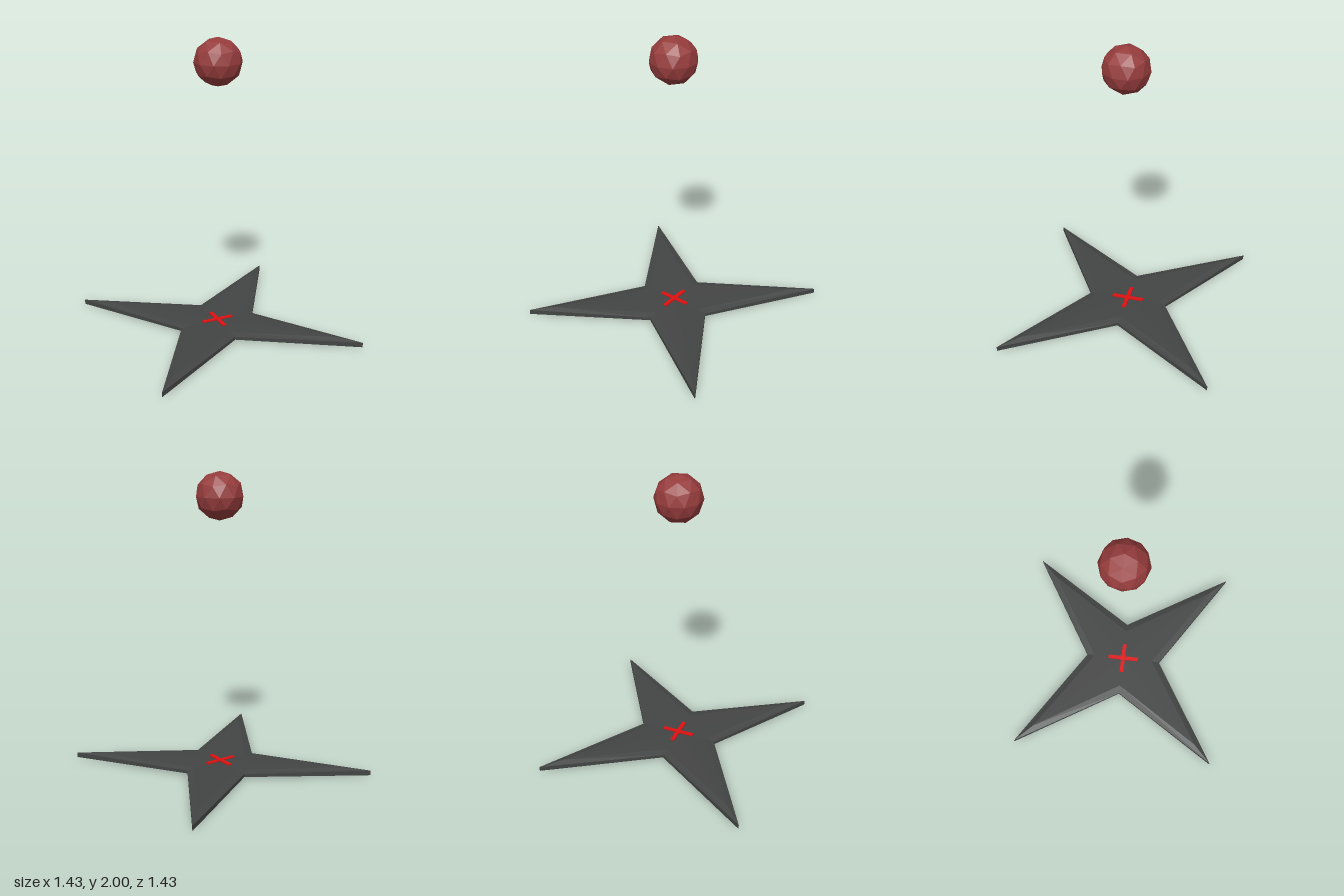
import * as THREE from 'three';

const mat = (color) => new THREE.MeshStandardMaterial({ color, flatShading: true });

// Four-pointed star from rings: [tip radius, tip height, valley radius, valley height]
function starGeometry(rings) {
  const loops = rings.map(([tipR, tipY, valleyR, valleyY]) =>
    Array.from({ length: 8 }, (_, i) => {
      const a = (i * Math.PI) / 4;
      const [r, y] = i % 2 ? [tipR, tipY] : [valleyR, valleyY];
      return [r * Math.cos(a), y, -r * Math.sin(a)];
    }));
  const pos = [];
  for (let k = 0; k < loops.length - 1; k++) {
    const [a, b] = [loops[k], loops[k + 1]];
    for (let i = 0; i < 8; i++) {
      const j = (i + 1) % 8;
      if (rings[k + 1][0] > 0) pos.push(...a[i], ...b[i], ...b[j]);
      if (rings[k][0] > 0) pos.push(...a[i], ...b[j], ...a[j]);
    }
  }
  const g = new THREE.BufferGeometry();
  g.setAttribute('position', new THREE.Float32BufferAttribute(pos, 3));
  g.computeVertexNormals();
  return g;
}

export function createModel() {
  const model = new THREE.Group();

  // Thin star plate with a bevelled top and a slightly hollow underside
  const star = new THREE.Mesh(starGeometry([
    [0, 0.045, 0, 0.045],
    [0.84, 0.05, 0.215, 0.045],
    [1.012, 0.037, 0.27, 0.035],
    [1.012, 0.004, 0.27, 0.014],
    [0.88, 0, 0.23, 0.012],
    [0, 0.012, 0, 0.012],
  ]), mat(0x434544));
  star.name = 'starBase';
  model.add(star);

  // Red cross in the middle of the plate
  const cross = new THREE.Group();
  cross.name = 'crossMark';
  for (let i = 0; i < 2; i++) {
    const bar = new THREE.Mesh(new THREE.BoxGeometry(0.22, 0.012, 0.028), mat(0xdd1111));
    bar.name = 'crossBar';
    bar.position.y = 0.046 + i * 0.0005;
    bar.rotation.y = (i * Math.PI) / 2;
    cross.add(bar);
  }
  model.add(cross);

  // Floating faceted ball, turned so a vertex points straight up
  const ballGeometry = new THREE.IcosahedronGeometry(0.158, 1);
  ballGeometry.rotateZ(Math.atan(2 / (1 + Math.sqrt(5))));
  const ball = new THREE.Mesh(ballGeometry, mat(0x963c3c));
  ball.name = 'floatingBall';
  ball.position.set(0, 1.842, 0.008);
  model.add(ball);

  return model;
}
